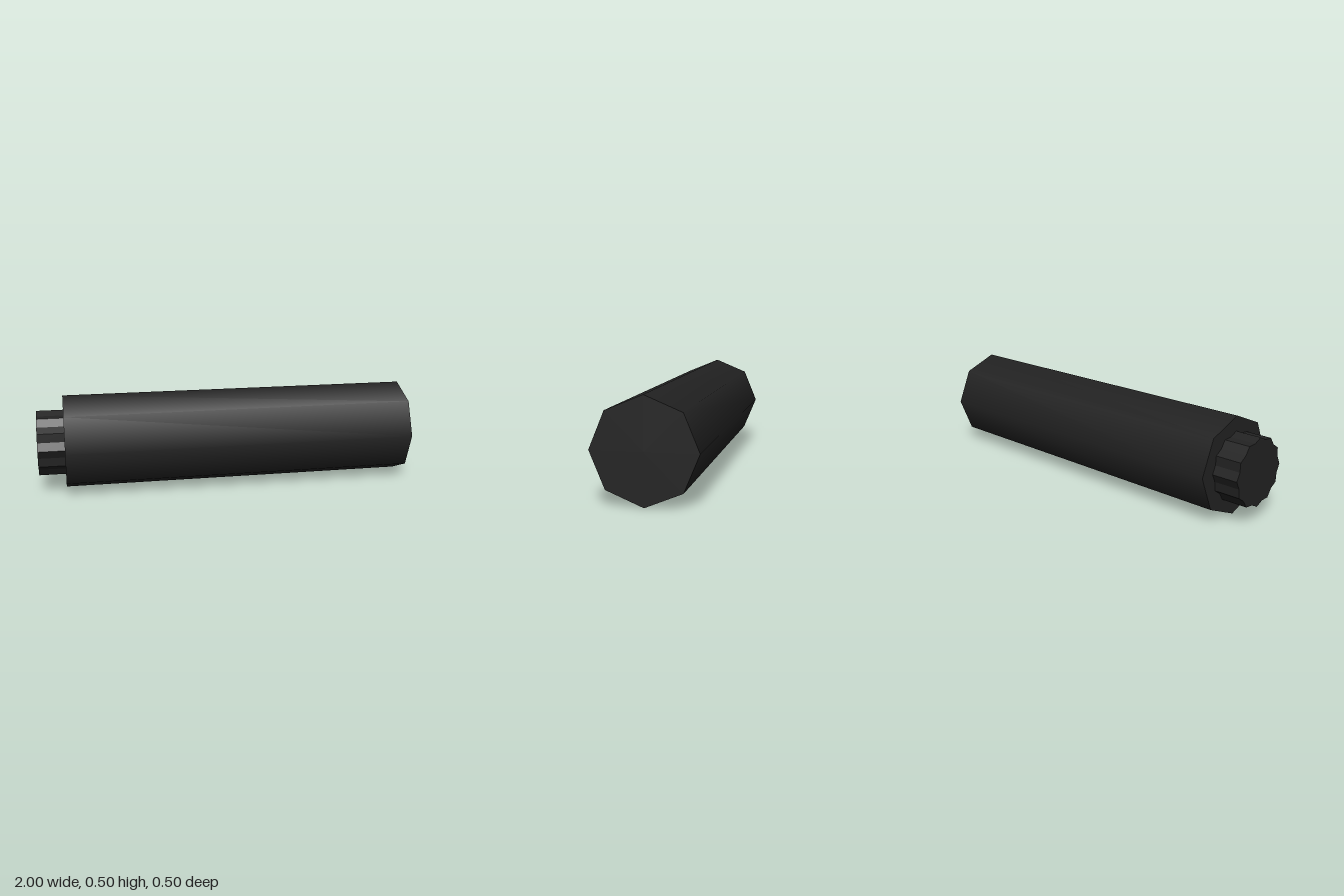
import * as THREE from 'three';

export function createModel() {
  const group = new THREE.Group();
  const black = new THREE.MeshStandardMaterial({ color: 0x222222 });
  black.name = 'matte black';
  const radius = 0.252, joint = -0.861;

  // Smooth-shaded eight-sided barrel lying along x
  const barrelGeometry = new THREE.CylinderGeometry(radius, radius, 1 - joint, 8);
  barrelGeometry.rotateZ(-Math.PI / 2);
  const barrel = new THREE.Mesh(barrelGeometry, black);
  barrel.name = 'barrel';
  barrel.position.set((1 + joint) / 2, radius, 0);
  group.add(barrel);

  // Fluted end collar: twelve pointed ridges with flat faces
  const ridges = 12;
  const points = [];
  for (let i = 0; i < ridges * 2; i++) {
    const r = i % 2 ? 0.16 : 0.175;
    const a = (i * Math.PI) / ridges;
    points.push(new THREE.Vector2(r * Math.cos(a), r * Math.sin(a)));
  }
  const collarGeometry = new THREE.ExtrudeGeometry(new THREE.Shape(points), {
    depth: joint + 1, bevelEnabled: false,
  });
  collarGeometry.rotateY(Math.PI / 2);
  const collar = new THREE.Mesh(collarGeometry, black);
  collar.name = 'flutedCollar';
  collar.position.set(-1, radius, 0);
  group.add(collar);

  return group;
}
